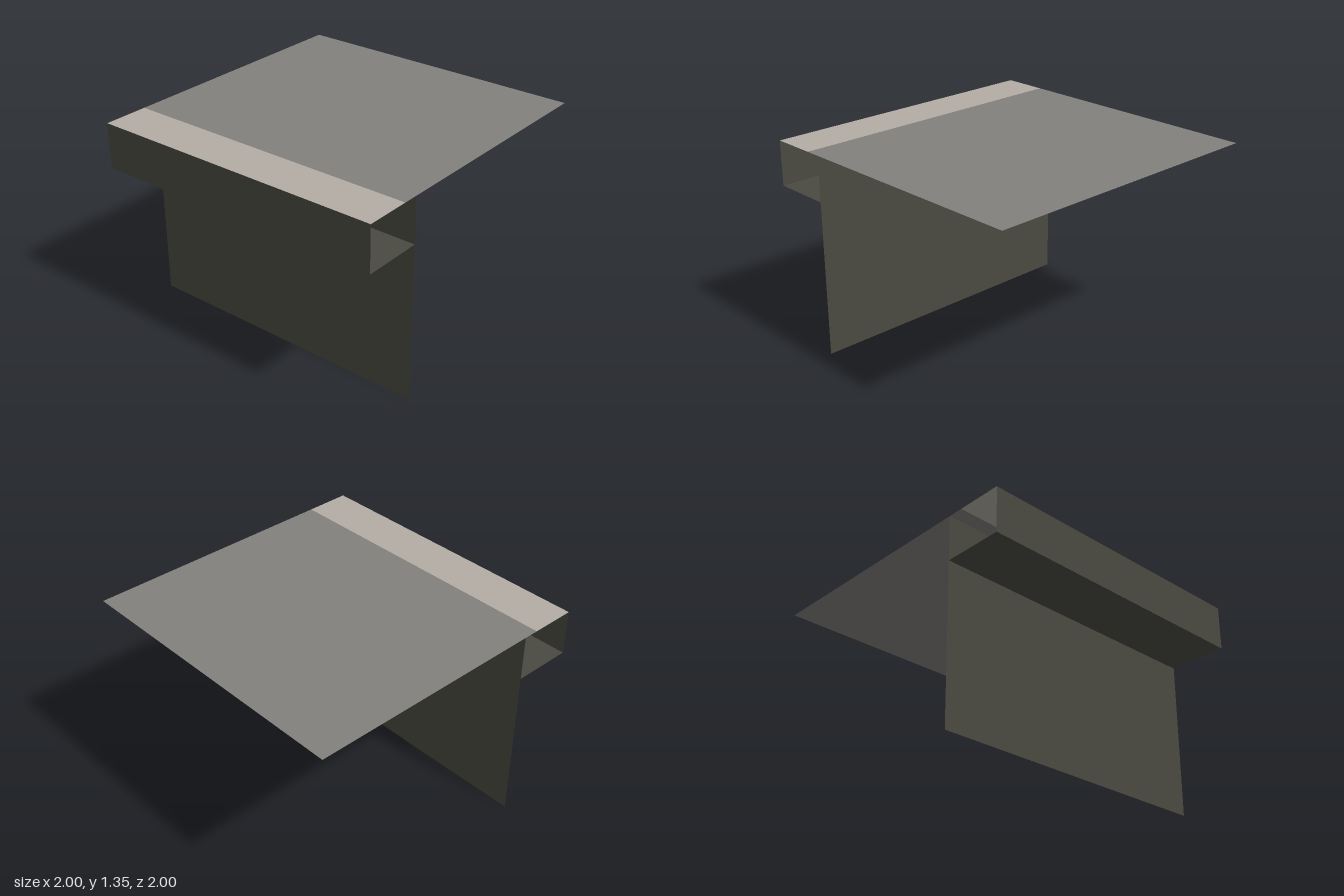
import * as THREE from 'three';

const TOP = 1.35, SOFFIT = 1.05, WALL_Z = 0.6, STRIP_Z = 0.7;

function material(name, color) {
  const m = new THREE.MeshStandardMaterial({ color, side: THREE.DoubleSide });
  m.name = name;
  return m;
}

export function createModel() {
  const group = new THREE.Group();
  group.name = 'canopy';

  const dark = material('dark panel', 0x4a4a42);
  const grey = material('grey roofing', 0x83817d);
  const pale = material('pale edging', 0xb3ada4);

  // Upright sheet facing +z, between two heights
  function upright(name, mat, y0, y1, z) {
    const mesh = new THREE.Mesh(new THREE.PlaneGeometry(2, y1 - y0), mat);
    mesh.position.set(0, (y0 + y1) / 2, z);
    mesh.name = name;
    group.add(mesh);
  }

  // Level sheet facing up, between two depths
  function level(name, mat, z0, z1, y) {
    const geometry = new THREE.PlaneGeometry(2, z1 - z0).rotateX(-Math.PI / 2);
    const mesh = new THREE.Mesh(geometry, mat);
    mesh.position.set(0, y, (z0 + z1) / 2);
    mesh.name = name;
    group.add(mesh);
  }

  // Flat roof with a pale strip along its front edge
  level('roof', grey, -1, STRIP_Z, TOP);
  level('roofEdge', pale, STRIP_Z, 1, TOP);

  // Open-ended eave box and the wall beneath the roof
  upright('fascia', dark, SOFFIT, TOP, 1);
  level('soffit', dark, WALL_Z, 1, SOFFIT);
  upright('wall', dark, 0, TOP, WALL_Z);

  return group;
}
